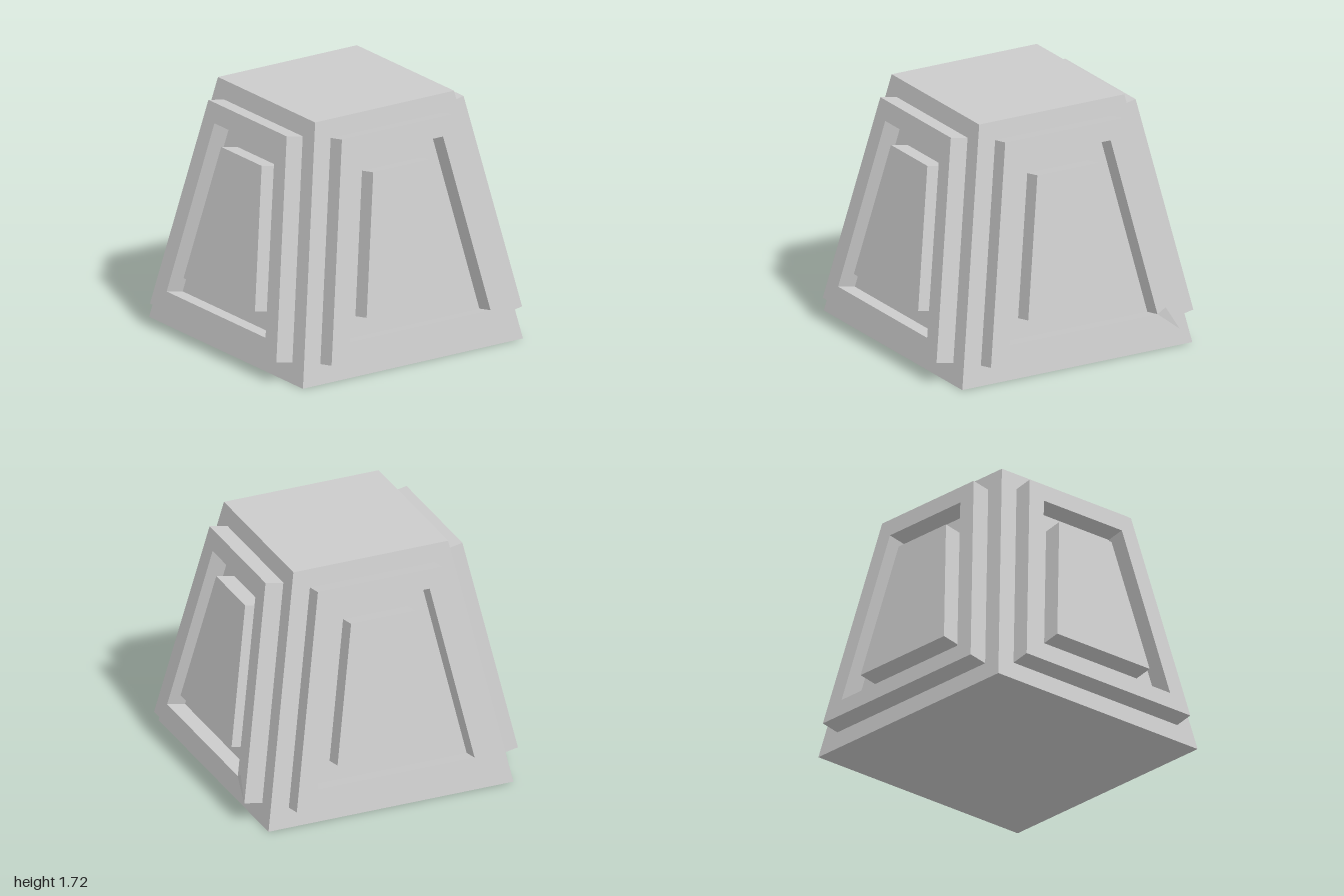
import * as THREE from 'three';

const HEIGHT = 1.72, BASE = 0.895, TOP = 0.565, RELIEF = 0.133;
const TILT = Math.atan2(BASE - TOP, HEIGHT);

const material = new THREE.MeshStandardMaterial({ color: 0xcccccc, flatShading: true });

// Corners of a symmetric trapezoid lying on a sloping wall
function trapezoid(bottomHalf, bottom, topHalf, top) {
  return [[-bottomHalf, bottom], [bottomHalf, bottom], [topHalf, top], [-topHalf, top]]
    .map(([x, y]) => new THREE.Vector2(x, y));
}

function raised(name, outline, hole) {
  const shape = new THREE.Shape(outline);
  if (hole) shape.holes.push(new THREE.Path(hole));
  const geometry = new THREE.ExtrudeGeometry(shape, { depth: RELIEF, bevelEnabled: false });
  const mesh = new THREE.Mesh(geometry, material);
  mesh.name = name;
  return mesh;
}

export function createModel() {
  const model = new THREE.Group();
  model.name = 'taperedBlock';

  // Solid tapered body
  const bodyGeometry = new THREE.CylinderGeometry(TOP * Math.SQRT2, BASE * Math.SQRT2, HEIGHT, 4);
  bodyGeometry.rotateY(Math.PI / 4).translate(0, HEIGHT / 2, 0);
  const body = new THREE.Mesh(bodyGeometry, material);
  body.name = 'body';
  model.add(body);

  // Raised frame and centre panel on each of the four walls
  ['front', 'left', 'back', 'right'].forEach((side, i) => {
    const wall = new THREE.Group();
    wall.name = side + 'Wall';
    const slope = new THREE.Group();
    slope.name = side + 'Relief';
    slope.position.z = BASE;
    slope.rotation.x = -TILT;
    slope.add(
      raised(side + 'Frame', trapezoid(0.735, 0.138, 0.455, 1.625), trapezoid(0.575, 0.265, 0.35, 1.492)),
      raised(side + 'Panel', trapezoid(0.415, 0.403, 0.235, 1.36))
    );
    wall.add(slope);
    wall.rotation.y = i * Math.PI / 2;
    model.add(wall);
  });

  // Small folded chip at the lower rear corner of the left frame
  const chipGeometry = new THREE.BufferGeometry().setFromPoints([
    new THREE.Vector3(1.0, 0.158, -0.735),
    new THREE.Vector3(0.982, 0.325, -0.635),
    new THREE.Vector3(0.977, 0.285, -0.575),
  ]);
  chipGeometry.setIndex([0, 1, 2]);
  chipGeometry.computeVertexNormals();
  const chipMaterial = material.clone();
  chipMaterial.side = THREE.DoubleSide;
  const chip = new THREE.Mesh(chipGeometry, chipMaterial);
  chip.name = 'cornerChip';
  model.add(chip);

  return model;
}
